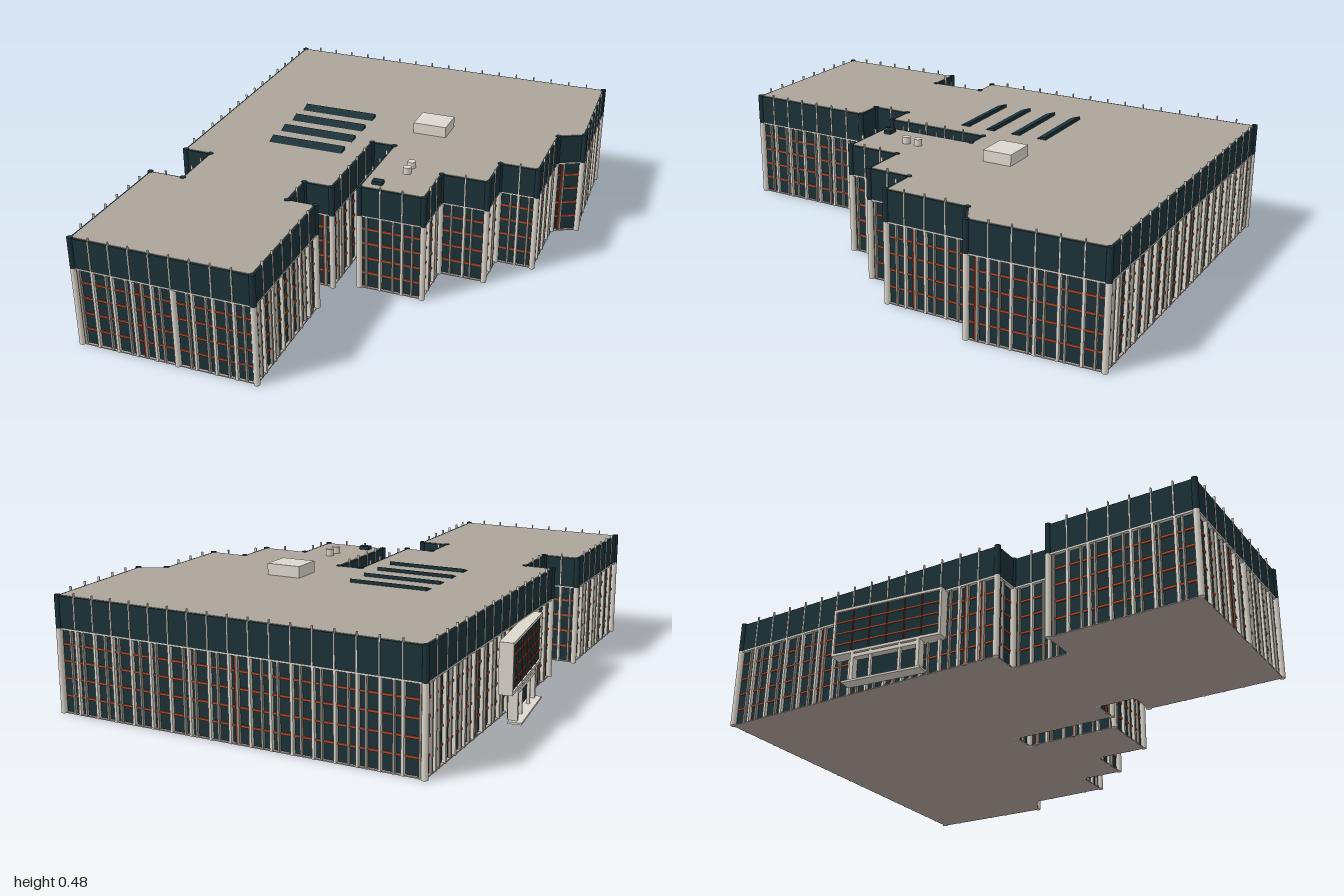
import * as THREE from 'three';
import { mergeGeometries } from 'three/addons/utils/BufferGeometryUtils.js';

const mat = (name, color) => {
  const m = new THREE.MeshStandardMaterial({ color });
  m.name = name;
  return m;
};

// Footprint corners (x, z), running clockwise seen from above
const PLAN = [
  [-0.685, -0.99], [0.745, -0.99], [0.77, -0.486], [0.673, -0.436], [0.673, -0.107], [0.523, -0.107],
  [0.523, 0.063], [0.34, 0.063], [0.34, 0.271], [0.078, 0.271], [0.078, -0.112], [-0.009, -0.112],
  [-0.009, 0.311], [-0.12, 0.311], [-0.12, 0.458], [-0.009, 0.458], [-0.009, 0.99], [-0.71, 0.99],
  [-0.71, 0.432], [-0.571, 0.432], [-0.571, 0.215], [-0.68, 0.215],
];

// Wall from corner i: start, direction, outward normal, length
function wall(i) {
  const n = PLAN.length, a = PLAN[(i + n) % n], b = PLAN[(i + 1) % n];
  const len = Math.hypot(b[0] - a[0], b[1] - a[1]);
  const dx = (b[0] - a[0]) / len, dz = (b[1] - a[1]) / len;
  return { a, dx, dz, nx: dz, nz: -dx, len };
}

// Footprint moved outwards (or inwards when negative) with mitred corners
function offsetPlan(d) {
  return PLAN.map(([x, z], i) => {
    const p = wall(i - 1), q = wall(i);
    const k = d / (1 + p.nx * q.nx + p.nz * q.nz);
    return [x + (p.nx + q.nx) * k, z + (p.nz + q.nz) * k];
  });
}

// Horizontal slab of the footprint between two heights
function slab(offset, y0, y1) {
  const shape = new THREE.Shape(offsetPlan(offset).map(([x, z]) => new THREE.Vector2(x, -z)));
  const g = new THREE.ExtrudeGeometry(shape, { depth: y1 - y0, bevelEnabled: false });
  return g.rotateX(-Math.PI / 2).translate(0, y0, 0);
}

function box(w, h, d, x, y, z) {
  return new THREE.BoxGeometry(w, h, d).translate(x, y, z);
}

// Upright strip on a wall, at distance t along it
function strip(w, t, width, depth, y0, y1, out) {
  return new THREE.BoxGeometry(width, y1 - y0, depth)
    .rotateY(Math.atan2(-w.dz, w.dx))
    .translate(w.a[0] + w.dx * t + w.nx * (out - depth / 2), (y0 + y1) / 2,
      w.a[1] + w.dz * t + w.nz * (out - depth / 2));
}

// Sloping roof light: tall edge at the back, falling to the front
function wedge(x0, x1, z, depth, y, h) {
  const s = new THREE.Shape([[-depth / 2, 0], [depth / 2, 0], [depth / 2, h]].map(p => new THREE.Vector2(...p)));
  const g = new THREE.ExtrudeGeometry(s, { depth: x1 - x0, bevelEnabled: false });
  return g.rotateY(Math.PI / 2).translate(x0, y, z);
}

export function createModel() {
  const root = new THREE.Group();
  root.name = 'officeBuilding';
  const glass = mat('darkGlass', 0x1c3137);
  const cream = mat('paleStone', 0xddd8ce);
  const grey = mat('greyMetal', 0x98948b);
  const roofing = mat('roofing', 0xaca59a);
  const base = mat('baseStone', 0xb5a8a2);
  const orange = mat('orangeBand', 0xb54a2b);
  const brick = mat('redPanel', 0x7a3020);

  const add = (name, geo, material, parent = root) => {
    const m = new THREE.Mesh(Array.isArray(geo) ? mergeGeometries(geo.map(g => g.index ? g.toNonIndexed() : g)) : geo, material);
    m.name = name;
    parent.add(m);
  };

  // Main volumes
  add('baseSlab', slab(-0.002, 0, 0.004), base);
  add('glassWalls', slab(-0.012, 0.004, 0.314), glass);
  add('upperBand', slab(0, 0.317, 0.434), glass);
  add('bandTrim', slab(0.001, 0.311, 0.317), cream);
  add('roofSurface', slab(-0.008, 0.434, 0.436), roofing);

  // Floor bands
  add('floorBands', [0.066, 0.131, 0.195, 0.257].map(y => slab(-0.008, y - 0.004, y + 0.004)), orange);

  // Facade bays: piers, mullions, red panels and the fins of the upper band
  let seed = 7;
  const rand = () => (seed = (seed * 16807) % 2147483647) / 2147483647;
  const piers = [], mullions = [], panels = [], fins = [];
  PLAN.forEach((_, i) => {
    const w = wall(i), bays = Math.max(1, Math.round(w.len / 0.078)), step = w.len / bays;
    for (let b = 0; b < bays; b++) {
      const t = b * step;
      if (b > 0) {
        piers.push(strip(w, t, 0.01, 0.014, 0, 0.311, 0.001));
        fins.push(strip(w, t, 0.004, 0.008, 0.317, 0.45, 0.003));
      }
      const m = t + step * (0.25 + 0.5 * rand());
      mullions.push(strip(w, m, 0.008, 0.012, 0, 0.311, -0.001));
      if (rand() < 0.2) panels.push(strip(w, m + 0.009, 0.008, 0.009, 0, 0.311, -0.004));
    }
  });
  add('piers', piers, cream);
  add('mullions', mullions, grey);
  add('redPanels', panels, brick);
  add('upperFins', fins, cream);

  // Round columns at every corner and one mid-front, dark above the trim
  const corners = offsetPlan(-0.004);
  const column = (y0, y1, r) => ([x, z]) =>
    new THREE.CylinderGeometry(r, r, y1 - y0, 16).translate(x, (y0 + y1) / 2, z);
  add('cornerColumns', [...corners, [-0.317, 0.984]].map(column(0, 0.316, 0.0115)), cream);
  add('cornerColumnTops', corners.map(column(0.316, 0.438, 0.0115)), glass);

  // Landings at the back of the courtyard slot
  add('courtyardLandings', [0.066, 0.131, 0.257].map(y => box(0.084, 0.01, 0.03, 0.034, y, -0.105)), cream);
  add('courtyardBand', box(0.084, 0.011, 0.03, 0.034, 0.194, -0.105), orange);

  // Roof lights and plant
  add('skylights', [-0.328, -0.215, -0.102, 0.011].map(z => wedge(-0.398, -0.088, z, 0.044, 0.435, 0.015)), glass);
  add('plantRoom', box(0.136, 0.044, 0.116, 0.18, 0.458, -0.318), cream);
  add('roofVents', [0.044, 0.096].map(z =>
    new THREE.CylinderGeometry(0.016, 0.016, 0.026, 16).translate(0.21, 0.449, z)), cream);
  add('roofHatch', box(0.042, 0.014, 0.028, 0.138, 0.443, 0.22), glass);

  // Angled entrance on the right side; local -x faces outwards
  const entrance = new THREE.Group();
  entrance.name = 'entrance';
  entrance.position.set(-0.714, 0, -0.225);
  entrance.rotation.y = 0.115;
  root.add(entrance);
  const L = 0.45;
  add('entranceBay', box(0.044, 0.17, L - 0.02, 0.003, 0.22, 0), glass, entrance);
  add('entranceFrame', [
    box(0.052, 0.01, L, 0, 0.309, 0), box(0.052, 0.01, L, 0, 0.13, 0),
    box(0.052, 0.169, 0.01, 0, 0.2195, L / 2 - 0.005), box(0.052, 0.169, 0.01, 0, 0.2195, 0.005 - L / 2),
  ], cream, entrance);
  add('entranceBands', [0.17, 0.215, 0.26].map(y => box(0.004, 0.005, L - 0.02, -0.02, y, 0)), orange, entrance);
  add('entranceMullions', [-2, -1, 0, 1, 2].map(k => box(0.004, 0.169, 0.004, -0.021, 0.2195, k * 0.072)), brick, entrance);
  add('porchStep', box(0.05, 0.008, 0.32, -0.021, 0.004, 0), cream, entrance);
  add('porchFrame', [
    ...[-0.135, 0.135].map(z => box(0.036, 0.117, 0.014, -0.008, 0.0665, z)),
    ...[-0.06, 0.06].map(z => box(0.012, 0.117, 0.01, -0.018, 0.0665, z)),
    box(0.036, 0.014, 0.284, -0.008, 0.112, 0),
  ], cream, entrance);
  add('porchDoors', box(0.012, 0.1, 0.26, 0.008, 0.058, 0), glass, entrance);

  return root;
}
